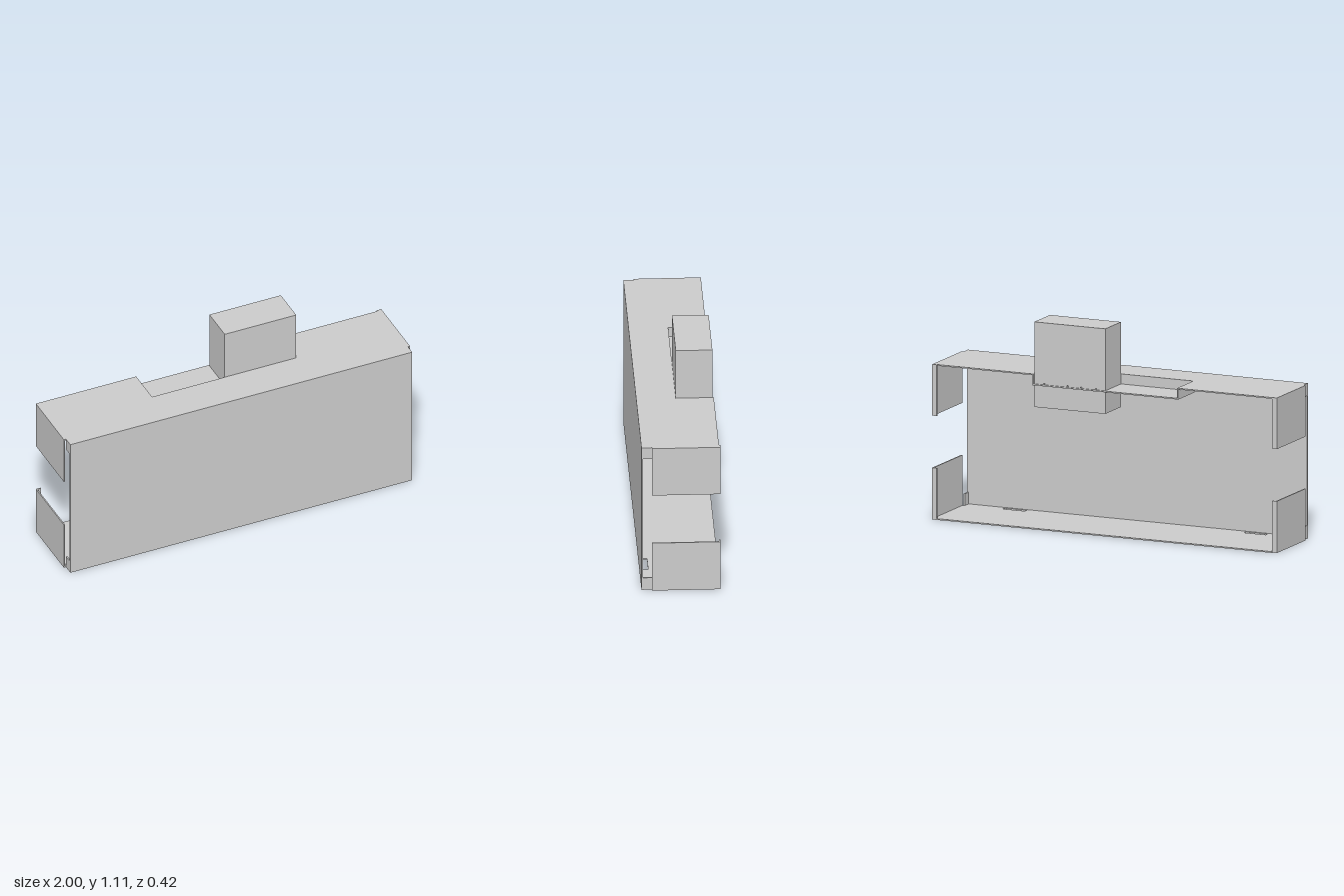
import * as THREE from 'three';

const T = 0.007; // sheet thickness
const H = 0.833; // height of the case
const mat = new THREE.MeshStandardMaterial({ color: 0xcccccc, flatShading: true, side: THREE.DoubleSide });

function add(parent, name, geometry) {
  const mesh = new THREE.Mesh(geometry, mat);
  mesh.name = name;
  parent.add(mesh);
  return mesh;
}

// Box given by its extents along each axis
function block(parent, name, [x0, x1], [y0, y1], [z0, z1]) {
  const g = new THREE.BoxGeometry(x1 - x0, y1 - y0, z1 - z0);
  g.translate((x0 + x1) / 2, (y0 + y1) / 2, (z0 + z1) / 2);
  return add(parent, name, g);
}

const outline = (pts, Type = THREE.Shape) => new Type(pts.map(([a, b]) => new THREE.Vector2(a, b)));

// Flat horizontal sheet from [x, z] points, with its underside at y
function sheet(parent, name, pts, y, holes = []) {
  const flip = (p) => p.map(([x, z]) => [x, -z]);
  const shape = outline(flip(pts));
  shape.holes = holes.map((h) => outline(flip(h), THREE.Path));
  const g = new THREE.ExtrudeGeometry(shape, { depth: T, bevelEnabled: false });
  g.rotateX(-Math.PI / 2).translate(0, y, 0);
  return add(parent, name, g);
}

export function createModel() {
  const model = new THREE.Group();
  model.name = 'sheetMetalCase';

  // Front panel
  block(model, 'frontPanel', [-0.988, 0.988], [0, H], [0.199, 0.208]);

  // Top sheet, cut away at the back for the recess
  const x0 = -0.42, x1 = 0.413, back = -0.2;
  const front = [[-1, 0.153], [-0.988, 0.153], [-0.988, 0.2], [0.988, 0.2], [0.988, 0.153], [1, 0.153]];
  sheet(model, 'topPanel',
    [...front, [1, back], [x1, back], [x1, 0], [x0, 0], [x0, back], [-1, back]], H - T);

  // Bottom sheet with two slots near the front
  const slots = [-0.7, 0.7].map((c) =>
    [[c - 0.065, 0.162], [c + 0.065, 0.162], [c + 0.065, 0.188], [c - 0.065, 0.188]]);
  sheet(model, 'bottomPanel',
    [...front, [1, back], [0.975, back], [0.975, -0.208], [-0.975, -0.208], [-0.975, back], [-1, back]], 0, slots);

  // Recess in the top: floor, end walls and front wall
  const floorY = 0.772;
  const recess = new THREE.Group();
  recess.name = 'recess';
  model.add(recess);
  block(recess, 'recessFloor', [x0, x1], [floorY, floorY + T], [back, 0]);
  block(recess, 'recessFrontWall', [x0, x1], [floorY, H], [0, T]);
  block(recess, 'recessEndWall', [x0 - T, x0], [floorY, H], [back, 0]);
  block(recess, 'recessEndWall', [x1, x1 + T], [floorY, H], [back, 0]);

  // Side tabs, back return lips and small front corner flaps
  for (const s of [-1, 1]) {
    const side = new THREE.Group();
    side.name = s > 0 ? 'leftSide' : 'rightSide';
    model.add(side);
    const span = (a, b) => (s > 0 ? [a, b] : [-b, -a]);
    const lipZ = s > 0 ? [-0.208, back] : [back, back + T];
    for (const [y0, y1] of [[0, 0.278], [0.558, H]]) {
      block(side, 'sideTab', span(1 - T, 1), [y0, y1], [back, 0.153]);
      block(side, 'backLip', span(0.973, 1), [y0, y1], lipZ);
    }
    for (const [y0, y1] of [[0, 0.07], [0.767, H]]) {
      block(side, 'cornerFlap', span(0.98, 0.988), [y0, y1], [0.153, 0.2]);
    }
  }

  // Raised box over one half of the recess; two walls reach below the floor
  const tower = new THREE.Group();
  tower.name = 'raisedBox';
  model.add(tower);
  const top = 1.112, low = 0.655, rear = -0.193;
  block(tower, 'boxTop', [0, x1], [top - T, top], [rear, 0]);
  block(tower, 'boxFront', [0, x1], [floorY, top], [-T, 0]);
  block(tower, 'boxOuterWall', [x1 - T, x1], [floorY, top], [rear, 0]);
  block(tower, 'boxInnerWall', [0, T], [low, top], [rear, 0]);

  // Back wall of the box with a row of pin holes
  const wall = outline([[0, low], [x1, low], [x1, top], [0, top]]);
  for (const x of [0.055, 0.14, 0.22, 0.355]) {
    wall.holes.push(new THREE.Path().absarc(x, 0.783, 0.004, 0, Math.PI * 2, true));
  }
  const wallGeo = new THREE.ExtrudeGeometry(wall, { depth: T, bevelEnabled: false, curveSegments: 8 });
  add(tower, 'boxBack', wallGeo.translate(0, 0, rear));

  return model;
}
